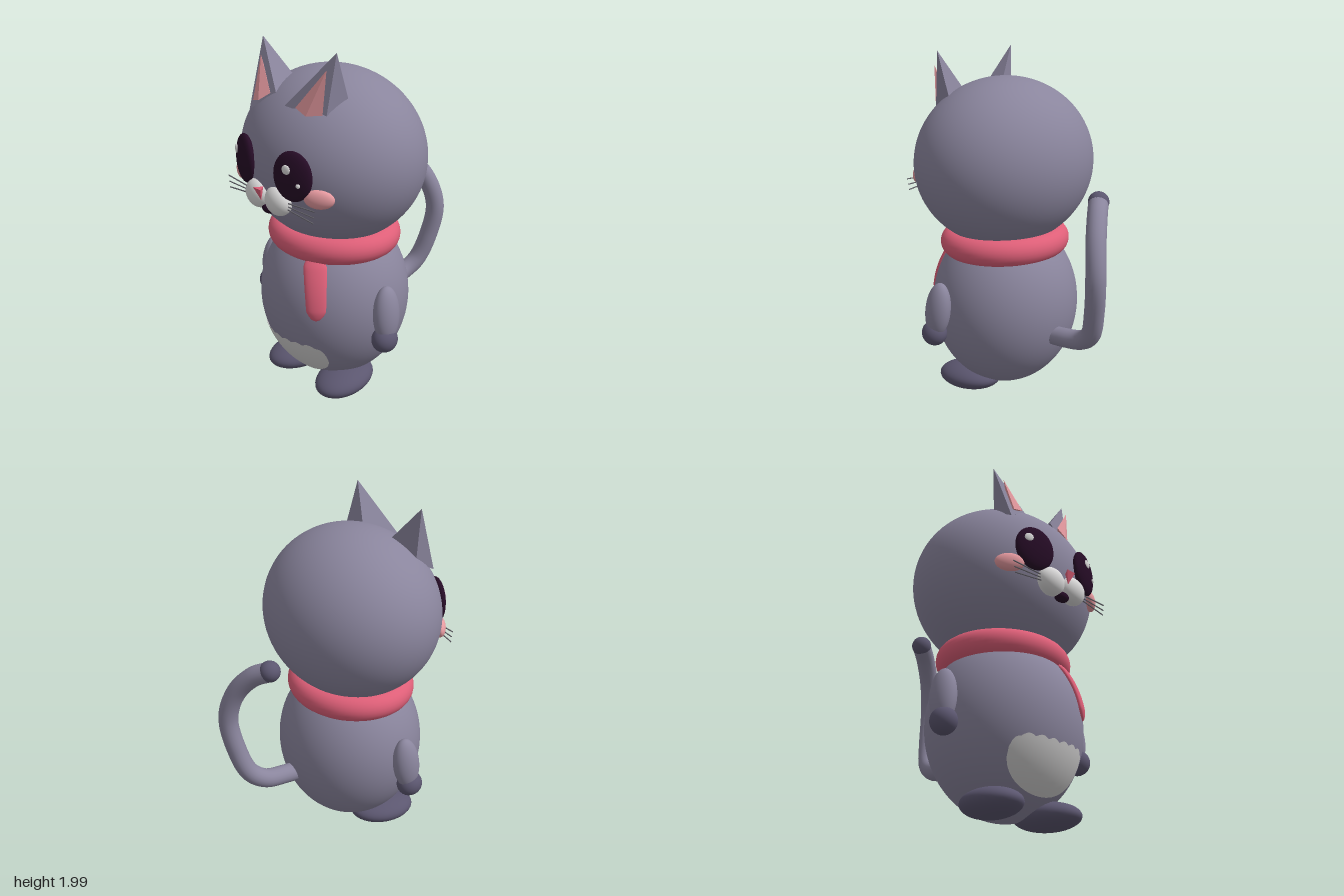
import * as THREE from 'three';
import { ConvexGeometry } from 'three/addons/geometries/ConvexGeometry.js';

const paint = (name, color, extra = {}) => {
  const m = new THREE.MeshStandardMaterial({ color, ...extra });
  m.name = name;
  return m;
};

export function createModel() {
  const model = new THREE.Group();
  model.name = 'cat';

  const fur = paint('greyFur', 0x8a859d);
  const paw = paint('darkPaw', 0x5b566f);
  const white = paint('white', 0xdcdbdb);
  const belly = paint('bellyWhite', 0xd0cfcf, { side: THREE.DoubleSide });
  const dark = paint('eyeDark', 0x260c26);
  const red = paint('scarfRed', 0xde5f78);
  const blush = paint('blushPink', 0xe69aa0);
  const whiskerGrey = paint('whiskerGrey', 0x66646c);

  const add = (name, geometry, material, parent = model) => {
    const mesh = new THREE.Mesh(geometry, material);
    mesh.name = name;
    parent.add(mesh);
    return mesh;
  };
  const ellipsoid = (name, material, pos, radii, rot = [0, 0, 0], parent = model, seg = 32) => {
    const mesh = add(name, new THREE.SphereGeometry(1, seg, seg * 0.75), material, parent);
    mesh.position.set(...pos);
    mesh.scale.set(...radii);
    mesh.rotation.set(...rot);
    return mesh;
  };
  const hull = (name, material, points) =>
    add(name, new ConvexGeometry(points.map((p) => new THREE.Vector3(...p))), material);
  // apply a rule to every vertex
  const bend = (geometry, rule) => {
    const p = geometry.attributes.position;
    for (let i = 0; i < p.count; i++) p.setXYZ(i, ...rule(p.getX(i), p.getY(i), p.getZ(i)));
    geometry.computeVertexNormals();
    return geometry;
  };

  // Head and body
  ellipsoid('head', fur, [0, 1.38, 0.14], [0.54, 0.48, 0.477], [0, 0, 0], model, 72);
  ellipsoid('body', fur, [0, 0.545, 0.14], [0.435, 0.5, 0.418], [0, 0, 0], model, 72);
  const bodyZ = (x, y) =>
    0.14 + 0.418 * Math.sqrt(Math.max(0, 1 - (x / 0.435) ** 2 - ((y - 0.545) / 0.5) ** 2));

  // Belly patch with a scalloped top, lying on the body
  add('bellyPatch', bend(new THREE.PlaneGeometry(2, 1, 80, 12), (x, y) => {
    const a = Math.min(1, Math.abs(x));
    const low = 0.32 - 0.19 * Math.sqrt(1 - a * a);
    const scallop = 0.05 + 0.012 * a + 0.014 * Math.abs(Math.sin(x * 11));
    const high = 0.32 + scallop * Math.sqrt(1 - a ** 8);
    const px = x * 0.25;
    const py = low + (high - low) * (y + 0.5);
    return [px, py, bodyZ(px, py) + 0.006];
  }), belly);

  // Scarf ring and its hanging end
  const scarf = add('scarf', new THREE.TorusGeometry(0.313, 0.077, 24, 72), red);
  scarf.position.set(0, 0.925, 0.14);
  scarf.rotation.x = Math.PI / 2;
  scarf.scale.y = 0.91;
  add('scarfEnd', bend(new THREE.SphereGeometry(1, 24, 32), (x, y, z) => {
    const t = Math.acos(THREE.MathUtils.clamp(y, -1, 1)) / Math.PI;
    const ring = Math.max(1e-4, Math.hypot(x, z));
    const round = Math.min(1, Math.sqrt(2 * Math.max(0, Math.sin(Math.PI * t)))) / ring;
    const px = 0.14 + 0.097 * t * (2 - t) + x * round * (0.06 - 0.018 * t);
    const py = 0.9 - 0.34 * t;
    return [px, py, bodyZ(px, py) + 0.003 + z * round * 0.024];
  }), red);

  // Limbs and face parts on both sides
  for (const s of [1, -1]) {
    const side = s > 0 ? 'left' : 'right';
    ellipsoid(side + 'Arm', fur, [s * 0.478, 0.59, 0.2], [0.063, 0.16, 0.08], [-0.08, 0, s * 0.1]);
    ellipsoid(side + 'Hand', paw, [s * 0.49, 0.45, 0.222], [0.069, 0.072, 0.075]);
    ellipsoid(side + 'Foot', paw, [s * 0.198, 0.084, 0.25], [0.143, 0.076, 0.2], [0.06, s * 0.15, 0]);
    ellipsoid(side + 'Muzzle', white, [s * 0.08, 1.242, 0.592], [0.087, 0.08, 0.06]);
    ellipsoid(side + 'Cheek', blush, [s * 0.315, 1.297, 0.522], [0.08, 0.052, 0.032], [0, s * 0.6, 0]);

    // Eye with highlights sitting on its surface
    const eye = new THREE.Group();
    eye.name = side + 'Eye';
    eye.position.set(s * 0.193, 1.402, 0.587);
    eye.rotation.set(-0.03, s * 0.32, 0);
    model.add(eye);
    ellipsoid('eyeball', dark, [0, 0, 0], [0.112, 0.132, 0.038], [0, 0, 0], eye, 40);
    const sparks = s > 0 ? [[-0.018, 0.042, 0.025], [0.05, -0.032, 0.012]] : [[-0.046, 0.042, 0.025]];
    for (const [x, y, r] of sparks) {
      const z = 0.038 * Math.sqrt(1 - (x / 0.112) ** 2 - (y / 0.132) ** 2);
      ellipsoid('highlight', white, [x, y, z], [r, r, 0.008], [0, x * 4, 0], eye, 16);
    }

    // Whiskers
    for (const [y0, y1, x1] of [[1.25, 1.262, 0.355], [1.235, 1.228, 0.35], [1.222, 1.196, 0.345]]) {
      const line = new THREE.LineCurve3(
        new THREE.Vector3(s * 0.12, y0, 0.6), new THREE.Vector3(s * x1, y1, 0.588));
      add(side + 'Whisker', new THREE.TubeGeometry(line, 1, 0.0035, 6), whiskerGrey);
    }
  }

  // Nose and mouth
  hull('nose', red, [[-0.03, 1.305, 0.668], [0.03, 1.305, 0.668], [0, 1.305, 0.625], [0, 1.235, 0.642]]);
  ellipsoid('mouth', dark, [0, 1.178, 0.592], [0.046, 0.028, 0.032]);

  // Ears: faceted pyramids sunk a little into the head, each turned its own way
  const ear = (name, material, tip, base, sink) =>
    hull(name, material, [tip, ...base.map((p) => p.map((v, i) => tip[i] + (v - tip[i]) * sink))]);
  ear('leftEar', fur, [0.285, 2, 0.37],
    [[0.05, 1.73, 0.49], [0.15, 1.79, 0.315], [0.28, 1.757, 0.29], [0.262, 1.69, 0.42]], 1.06);
  ear('leftInnerEar', blush, [0.266, 1.92, 0.42],
    [[0.11, 1.72, 0.487], [0.18, 1.69, 0.482], [0.25, 1.7, 0.435], [0.2, 1.74, 0.4]], 1.02);
  ear('rightEar', fur, [-0.285, 2, 0.37],
    [[-0.13, 1.8, 0.29], [-0.115, 1.755, 0.435], [-0.268, 1.65, 0.485], [-0.275, 1.72, 0.36]], 1.05);
  ear('rightInnerEar', blush, [-0.25, 1.915, 0.415],
    [[-0.24, 1.69, 0.485], [-0.19, 1.7, 0.49], [-0.14, 1.74, 0.45], [-0.2, 1.74, 0.4]], 1.02);

  // Tail with a dark tip
  const path = new THREE.CatmullRomCurve3([
    [0, 0.42, -0.18], [0, 0.43, -0.32], [0, 0.455, -0.45], [0.025, 0.52, -0.535], [0.065, 0.68, -0.59],
    [0.09, 0.88, -0.614], [0.05, 1.05, -0.577], [-0.035, 1.17, -0.513], [-0.115, 1.222, -0.455],
  ].map((p) => new THREE.Vector3(...p)));
  add('tail', new THREE.TubeGeometry(path, 64, 0.055, 20), fur);
  ellipsoid('tailTip', paw, [-0.116, 1.224, -0.455], [0.058, 0.058, 0.058]);

  return model;
}
